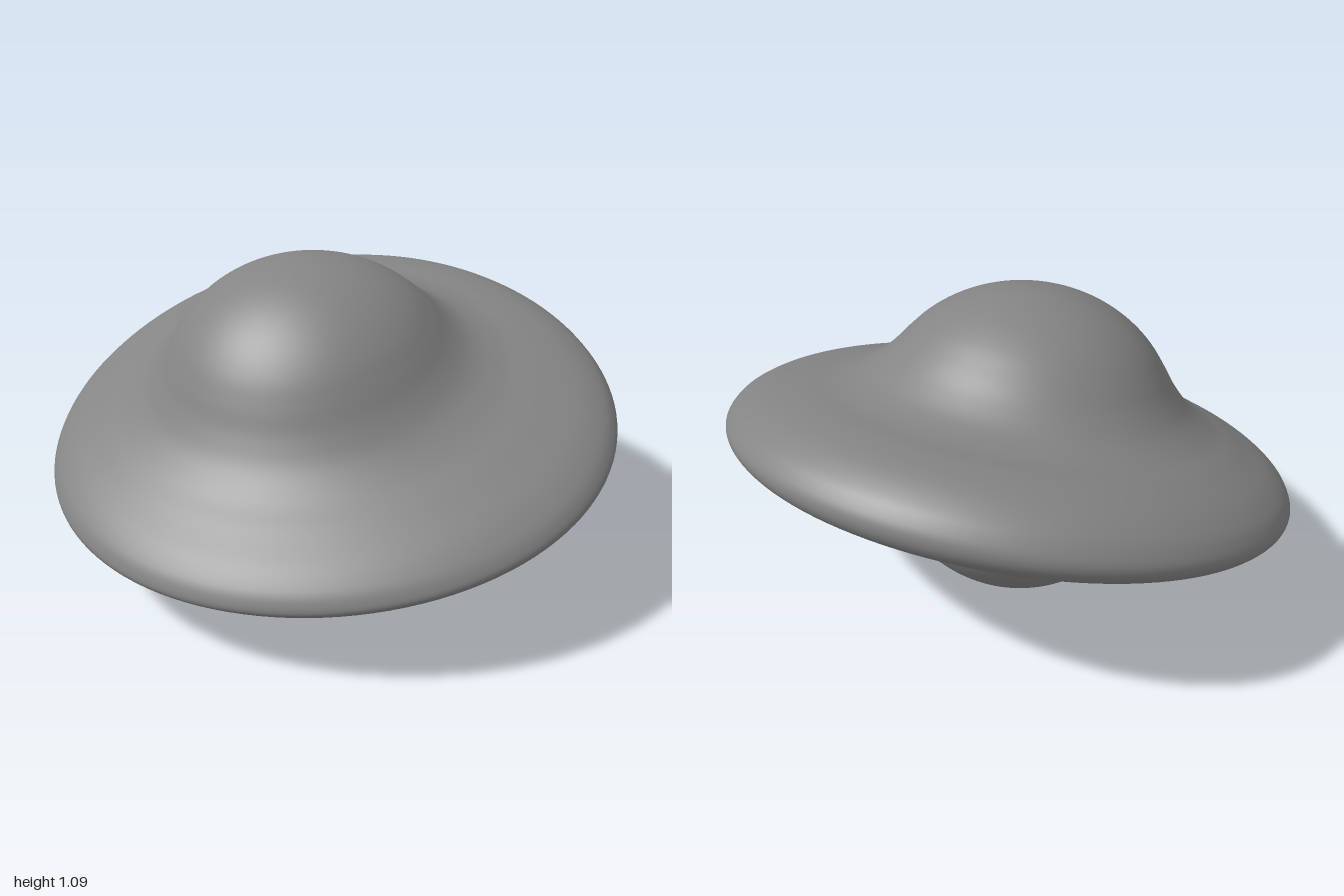
import * as THREE from 'three';
import { mergeVertices } from 'three/addons/utils/BufferGeometryUtils.js';

const CORE = 0.545; // radius of the central ball
const RIM = -0.03; // height of the brim's edge in the profile

// Half section from the bottom pole, around the brim, to the top pole
function profile() {
  const arc = (from, to) => Array.from({ length: 7 }, (_, i) => {
    const a = THREE.MathUtils.degToRad(from + (to - from) * i / 6);
    return new THREE.Vector2(Math.max(0, Math.cos(a) * CORE), Math.sin(a) * CORE);
  });
  const brim = [
    [0.548, -0.15], [0.62, -0.13], [0.75, -0.121], [0.88, -0.11], [0.945, -0.088], [0.985, -0.06],
    [1, RIM], [0.99, 0.002], [0.955, 0.042], [0.88, 0.087], [0.77, 0.123], [0.66, 0.15],
    [0.565, 0.193], [0.495, 0.254],
  ].map(([r, h]) => new THREE.Vector2(r, h));
  const points = new THREE.SplineCurve([...arc(-90, -21), ...brim, ...arc(37, 90)]).getPoints(150);
  points.forEach((p) => { p.x = Math.max(0, p.x); });
  points[0].x = points[points.length - 1].x = 0;
  return points;
}

// Edge of the brim: a turned ellipse, tilted up to the back and left, drooping at the sides
const TURN = THREE.MathUtils.degToRad(14);
function edge(angle) {
  const a = 1.006 * Math.cos(angle - TURN);
  const b = 0.904 * Math.sin(angle - TURN);
  const x = a * Math.cos(TURN) - b * Math.sin(TURN);
  const z = a * Math.sin(TURN) + b * Math.cos(TURN);
  return new THREE.Vector3(x, 0.527 + 0.1 * x - 0.275 * z - 0.04 * x * x, z);
}

export function createModel() {
  const group = new THREE.Group();
  group.name = 'brimmedBall';

  let geometry = new THREE.LatheGeometry(profile(), 128);
  geometry.deleteAttribute('normal');
  geometry.deleteAttribute('uv');

  const normal = new THREE.Vector3(-0.1, 1, 0.28).normalize();
  const tilt = new THREE.Quaternion().setFromUnitVectors(new THREE.Vector3(0, 1, 0), normal);
  const ballCentre = new THREE.Vector3(-0.05, CORE, 0);
  const brimCentre = ballCentre.clone().addScaledVector(normal, RIM);

  const pos = geometry.attributes.position;
  const p = new THREE.Vector3();
  for (let i = 0; i < pos.count; i++) {
    p.fromBufferAttribute(pos, i);
    const r = Math.hypot(p.x, p.z);
    const h = p.y - RIM;
    const angle = Math.atan2(p.z, p.x);
    // Ball: narrows downwards
    p.applyQuaternion(tilt);
    p.x *= 1 + (p.y > 0 ? 0.1 : 0.2) * p.y;
    p.add(ballCentre);
    // Brim: follows the edge and is thicker at the back
    const t = THREE.MathUtils.smoothstep(r, 0.5, 0.88);
    const q = edge(angle).sub(brimCentre).multiplyScalar(r).add(brimCentre);
    q.addScaledVector(normal, h * (1 - 0.25 * q.z));
    p.lerp(q, t);
    pos.setXYZ(i, p.x, p.y, p.z);
  }
  geometry = mergeVertices(geometry, 1e-5);
  geometry.computeVertexNormals();

  const body = new THREE.Mesh(geometry, new THREE.MeshStandardMaterial({ color: 0x848484 }));
  body.name = 'ballWithBrim';
  group.add(body);
  return group;
}
